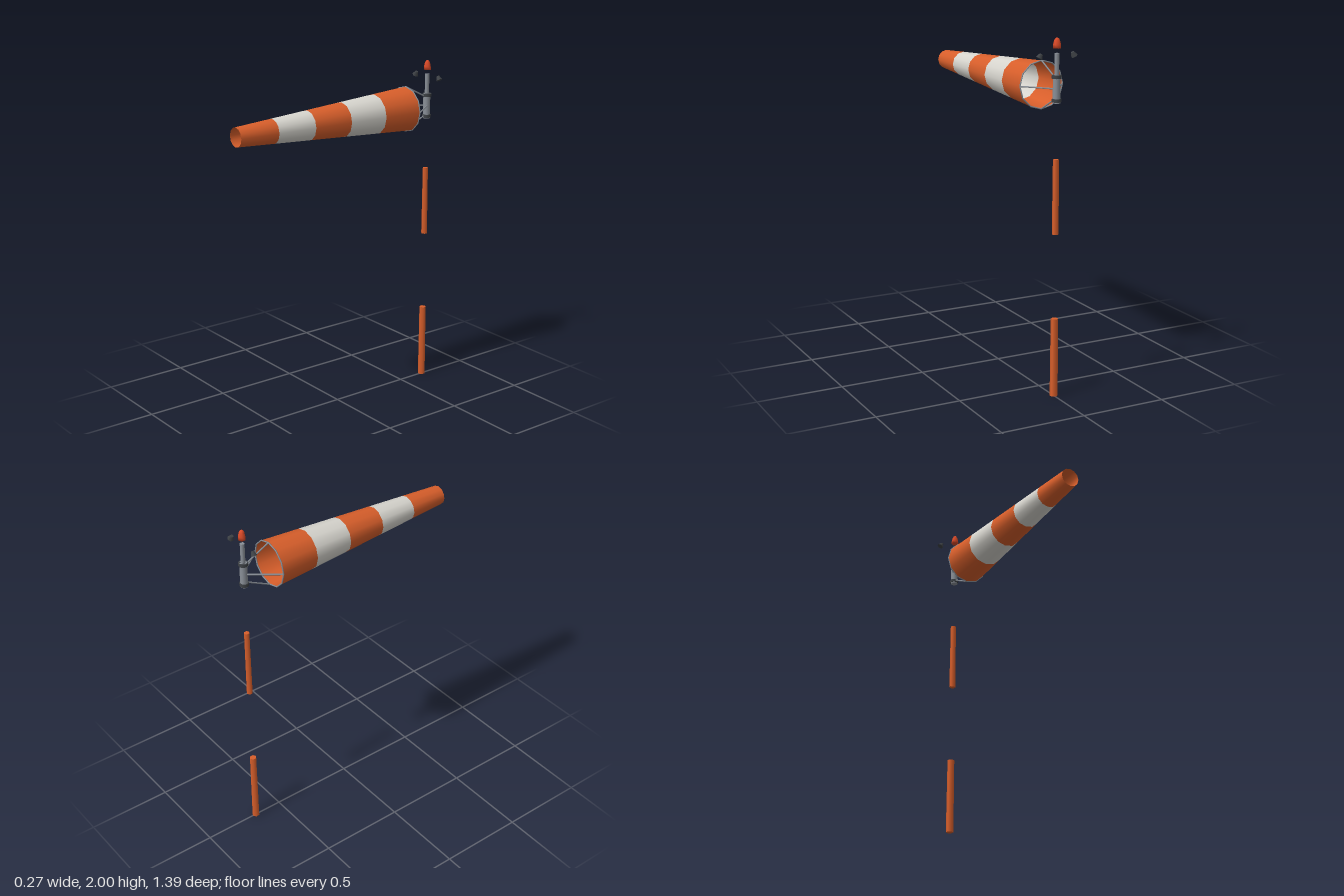
import * as THREE from 'three';

const mat = (name, color, side = THREE.FrontSide) => {
  const m = new THREE.MeshStandardMaterial({ color, side });
  m.name = name;
  return m;
};

export function createModel() {
  const orange = mat('orange', 0xd95f2b, THREE.DoubleSide);
  const white = mat('offWhite', 0xd8d6cf, THREE.DoubleSide);
  const grey = mat('steel', 0x8a9098);
  const dark = mat('darkMetal', 0x3e4246);
  const red = mat('beaconRed', 0xdb4a28);

  const model = new THREE.Group();
  model.name = 'windsock';
  const poleZ = -0.67, sockY = 1.727, sockBack = -0.505, sockFront = 0.69;
  const sockR = 0.132, tipR = 0.056;

  const add = (name, geo, material, x = 0, y = 0, z = 0) => {
    const mesh = new THREE.Mesh(geo, material);
    mesh.name = name;
    mesh.position.set(x, y, z);
    model.add(mesh);
    return mesh;
  };
  // Upright tapered section on the mast axis
  const post = (name, rTop, rBottom, y0, y1, sides, material) =>
    add(name, new THREE.CylinderGeometry(rTop, rBottom, y1 - y0, sides), material, 0, (y0 + y1) / 2, poleZ);
  // Thin rod between two points
  const rod = (name, a, b, r) => {
    const dir = b.clone().sub(a);
    const mesh = add(name, new THREE.CylinderGeometry(r, r, dir.length(), 6), grey);
    mesh.position.copy(a).add(b).multiplyScalar(0.5);
    mesh.quaternion.setFromUnitVectors(new THREE.Vector3(0, 1, 0), dir.normalize());
  };

  // Painted pole sections
  post('lowerPole', 0.0205, 0.0225, 0, 0.45, 6, orange);
  post('upperPole', 0.0165, 0.0185, 0.93, 1.345, 6, orange);

  // Swivel head: sleeve, collars and top post
  post('swivelSleeve', 0.021, 0.021, 1.65, 1.8, 10, grey);
  post('lowerCollar', 0.026, 0.026, 1.656, 1.674, 10, dark);
  post('upperCollar', 0.027, 0.027, 1.782, 1.8, 10, dark);
  post('topPost', 0.013, 0.013, 1.8, 1.917, 8, grey);

  // Warning beacon
  const dome = [[0, 1.942], [0.022, 1.942], [0.021, 1.962], [0.016, 1.984], [0.009, 1.996], [0, 2]]
    .map(([r, y]) => new THREE.Vector2(r, y));
  add('beacon', new THREE.LatheGeometry(dome, 6), red, 0, 0, poleZ);

  // Floodlight heads, splayed outward
  for (const s of [-1, 1]) {
    const lamp = add('floodlight', new THREE.CylinderGeometry(0.009, 0.019, 0.026, 6), dark, s * 0.101, 1.906, poleZ);
    lamp.rotation.z = s * 0.55;
  }

  // Fabric cone in five bands
  const bands = 5, len = (sockFront - sockBack) / bands;
  for (let i = 0; i < bands; i++) {
    const radius = (k) => sockR + (tipR - sockR) * k / bands;
    const geo = new THREE.CylinderGeometry(radius(i + 1), radius(i), len, 12, 1, true);
    geo.rotateX(Math.PI / 2);
    add('sockBand', geo, i % 2 ? white : orange, 0, sockY, sockBack + (i + 0.5) * len);
  }

  // Mouth hoop and its four stays
  add('hoop', new THREE.TorusGeometry(sockR, 0.004, 6, 12), grey, 0, sockY, sockBack);
  for (const s of [-1, 1]) {
    rod('verticalStay', new THREE.Vector3(0, sockY + s * sockR, sockBack),
      new THREE.Vector3(0, sockY + s * 0.058, poleZ + 0.018), 0.0045);
    rod('sideStay', new THREE.Vector3(s * sockR, sockY, sockBack),
      new THREE.Vector3(s * 0.014, sockY, poleZ + 0.01), 0.0045);
  }

  return model;
}
